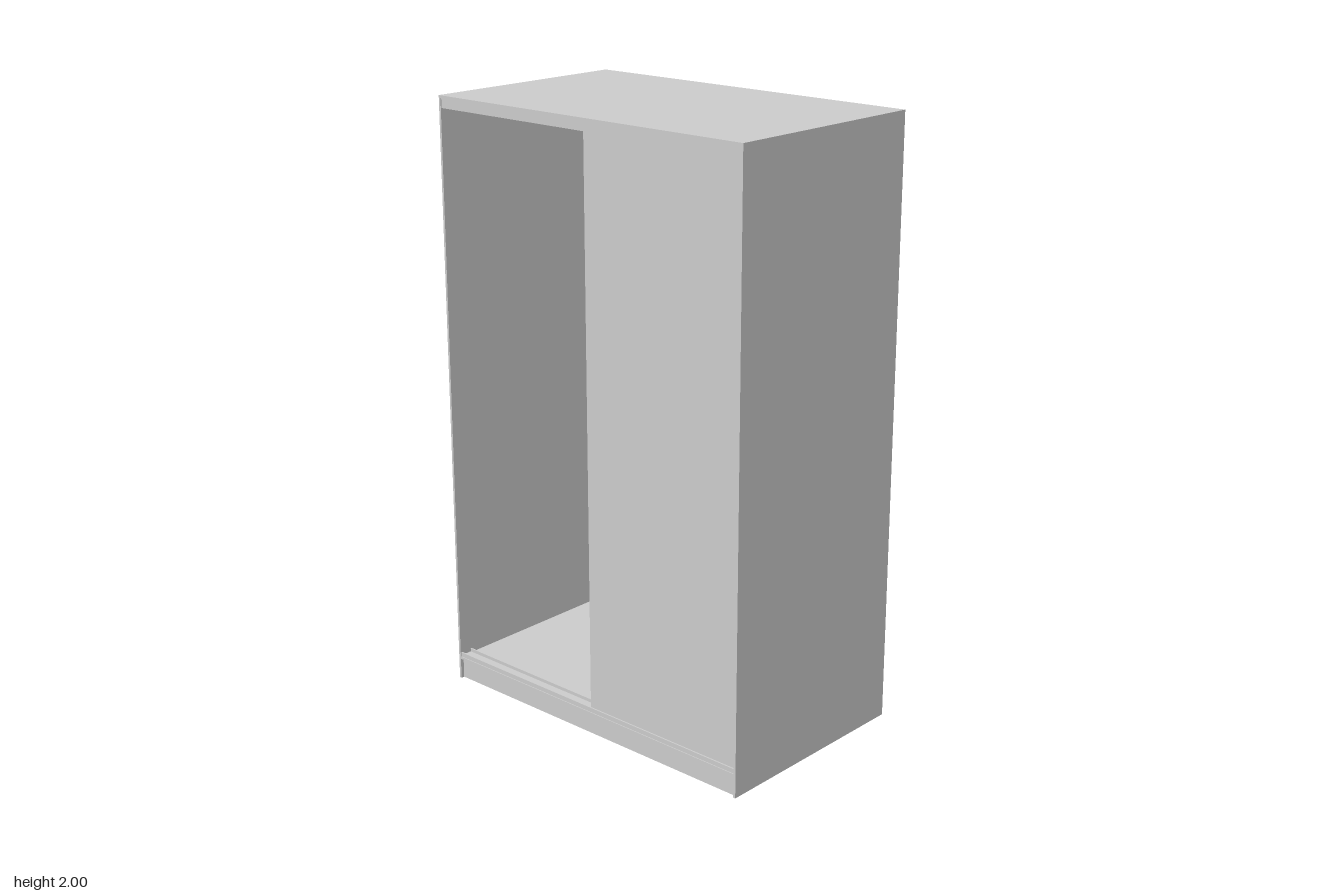
import * as THREE from 'three';

const W = 1.24, H = 2, D = 0.75, T = 0.008;
const material = new THREE.MeshStandardMaterial({ color: 0xcccccc });

// Box given by its min and max along each axis
function panel(parent, name, [x0, x1], [y0, y1], [z0, z1]) {
  const mesh = new THREE.Mesh(new THREE.BoxGeometry(x1 - x0, y1 - y0, z1 - z0), material);
  mesh.position.set((x0 + x1) / 2, (y0 + y1) / 2, (z0 + z1) / 2);
  mesh.name = name;
  parent.add(mesh);
  return mesh;
}

export function createModel() {
  const model = new THREE.Group();
  model.name = 'wardrobe';
  const inner = [-W / 2 + T, W / 2 - T];
  const front = D / 2, back = -D / 2;

  // Carcass
  panel(model, 'topPanel', [-W / 2, W / 2], [H - T, H], [back, front]);
  panel(model, 'leftSide', [W / 2 - T, W / 2], [0, H - T], [back, front]);
  panel(model, 'rightSide', [-W / 2, -W / 2 + T], [0, H - T], [back, front]);
  panel(model, 'floorPanel', inner, [0.072, 0.08], [back, front]);
  panel(model, 'divider', [-T / 2, T / 2], [0.08, H - T], [back, 0.265]);

  // Plinth boards under the floor
  panel(model, 'frontPlinth', inner, [0, 0.072], [0.355, 0.363]);
  panel(model, 'backPlinth', inner, [0, 0.072], [back, back + T]);

  // Upper track: plate with lips hanging down on both sides of the door
  const upper = new THREE.Group();
  upper.name = 'upperTrack';
  panel(upper, 'upperTrackPlate', inner, [1.985, H - T], [0.324, 0.372]);
  for (const z of [0.324, 0.367])
    panel(upper, 'upperTrackLip', inner, [1.96, 1.985], [z, z + 0.005]);
  model.add(upper);

  // Lower track: plate with low guide ridges
  const lower = new THREE.Group();
  lower.name = 'lowerTrack';
  panel(lower, 'lowerTrackPlate', inner, [0.08, 0.084], [0.324, 0.372]);
  for (const z of [0.324, 0.367])
    panel(lower, 'lowerTrackRidge', inner, [0.084, 0.095], [z, z + 0.005]);
  model.add(lower);

  // Single sliding door over the left bay
  panel(model, 'slidingDoor', [-0.004, W / 2 - T], [0.086, 1.98], [0.336, 0.36]);

  return model;
}
